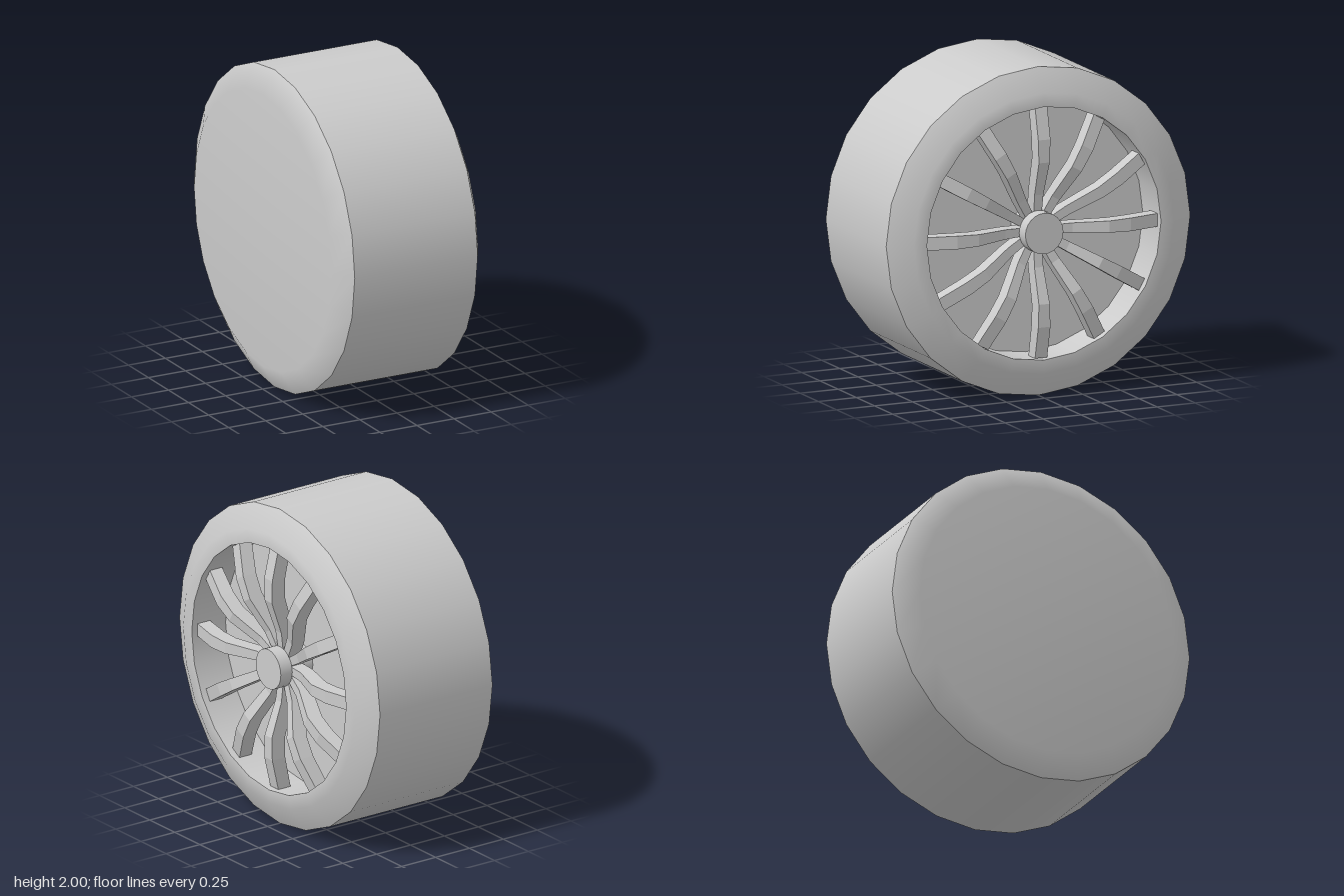
import * as THREE from 'three';

const SIDES = 24;
const material = new THREE.MeshStandardMaterial({ color: 0xcccccc });

// Surface of revolution about the x axis; profile is [radius, x] from back to front
function revolve(name, profile) {
  const geometry = new THREE.LatheGeometry(profile.map(([r, x]) => new THREE.Vector2(r, x)), SIDES);
  geometry.rotateZ(-Math.PI / 2);
  const mesh = new THREE.Mesh(geometry, material);
  mesh.name = name;
  return mesh;
}

// Bent bar pointing up: side outline in (x, y), widened towards the tip
function spokeGeometry() {
  const outline = [
    [0.40, 0.07], [0.42, 0.22], [0.495, 0.43], [0.495, 0.57], [0.45, 0.765],
    [0.36, 0.765], [0.40, 0.57], [0.40, 0.45], [0.33, 0.22], [0.31, 0.07],
  ];
  const shape = new THREE.Shape(outline.map(([x, y]) => new THREE.Vector2(x, y)));
  const geometry = new THREE.ExtrudeGeometry(shape, { depth: 1, bevelEnabled: false });
  geometry.translate(0, 0, -0.5);
  const p = geometry.attributes.position;
  for (let i = 0; i < p.count; i++) {
    const t = Math.min(1, p.getY(i) / 0.57);
    p.setZ(i, p.getZ(i) * (0.045 + 0.035 * t));
  }
  geometry.computeVertexNormals();
  return geometry;
}

export function createModel() {
  const wheel = new THREE.Group();
  wheel.name = 'wheel';
  wheel.position.y = 1;

  // Tyre
  wheel.add(revolve('tyreBack', [[0, -0.5], [0.855, -0.5], [1, -0.42]]));
  wheel.add(revolve('tyreTread', [[1, -0.42], [1, 0.41]]));
  wheel.add(revolve('tyreFrontWall', [[1, 0.41], [0.855, 0.49], [0.77, 0.49]]));

  // Recessed rim
  wheel.add(revolve('rimBarrel', [[0.77, 0.49], [0.77, 0.24]]));
  wheel.add(revolve('rimFloor', [[0.77, 0.24], [0, 0.24]]));

  // Hub
  wheel.add(revolve('axle', [[0.1, 0.24], [0.1, 0.42]]));
  wheel.add(revolve('hubCapSide', [[0.125, 0.41], [0.125, 0.495]]));
  wheel.add(revolve('hubCapFace', [[0.125, 0.495], [0, 0.495]]));
  wheel.add(revolve('hubCapBack', [[0, 0.41], [0.125, 0.41]]));

  // Spokes
  const geometry = spokeGeometry();
  const spokes = new THREE.Group();
  spokes.name = 'spokes';
  for (let i = 0; i < 12; i++) {
    const spoke = new THREE.Mesh(geometry, material);
    spoke.name = 'spoke';
    spoke.rotation.x = (i / 12) * Math.PI * 2;
    spokes.add(spoke);
  }
  wheel.add(spokes);

  const model = new THREE.Group();
  model.name = 'wheelModel';
  model.add(wheel);
  return model;
}
